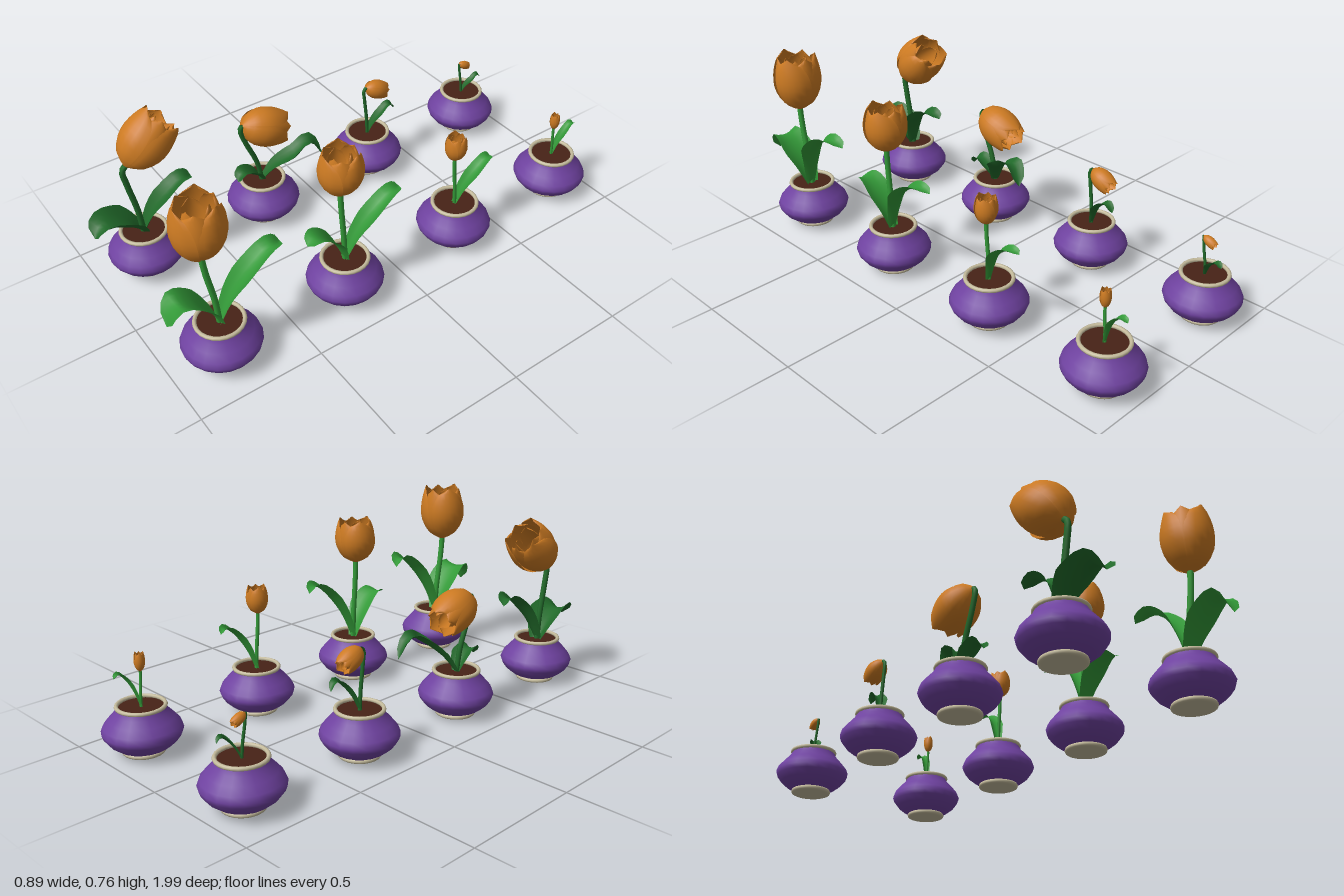
import * as THREE from 'three';
import { ParametricGeometry } from 'three/addons/geometries/ParametricGeometry.js';

const mat = (color, side = THREE.FrontSide) =>
  new THREE.MeshStandardMaterial({ color, side });
const glaze = mat(0x6f42a0);
const trim = mat(0xc4bb9c);
const soil = mat(0x472216);
const petal = mat(0xcc7a22, THREE.DoubleSide);
const fresh = mat(0x339a38, THREE.DoubleSide);
const wilted = mat(0x216a2a, THREE.DoubleSide);

const path = (pts) => new THREE.CatmullRomCurve3(pts.map((p) => new THREE.Vector3(...p)));

function add(parent, name, geometry, material, y = 0) {
  const mesh = new THREE.Mesh(geometry, material);
  mesh.name = name;
  mesh.position.y = y;
  parent.add(mesh);
}

function surface(fn, nu, nv) {
  const g = new ParametricGeometry(fn, nu, nv);
  g.computeVertexNormals();
  return g;
}

// Squat bulging pot with a foot ring, a rim and soil
const potSide = [[0.07, 0.015], [0.1, 0.028], [0.128, 0.05], [0.146, 0.074], [0.152, 0.092],
  [0.144, 0.113], [0.122, 0.139], [0.1, 0.163], [0.09, 0.182]].map((p) => new THREE.Vector2(...p));

function makePot() {
  const pot = new THREE.Group();
  pot.name = 'pot';
  const ring = (r, tube) => new THREE.TorusGeometry(r, tube, 8, 24).rotateX(Math.PI / 2);
  add(pot, 'potBody', new THREE.LatheGeometry(potSide, 20), glaze);
  add(pot, 'potFoot', ring(0.073, 0.0095), trim, 0.0095);
  add(pot, 'potBase', new THREE.CylinderGeometry(0.074, 0.074, 0.014, 24), trim, 0.008);
  add(pot, 'potRim', ring(0.09, 0.008), trim, 0.187);
  add(pot, 'soil', new THREE.CylinderGeometry(0.086, 0.086, 0.01, 24), soil, 0.177);
  return pot;
}

// Tulip head: three whorls of cupped, overlapping petals, opening along +y
const bulge = new THREE.SplineCurve([[0.1, 0], [0.62, 0.13], [0.93, 0.36], [1, 0.58],
  [0.93, 0.8], [0.8, 1]].map((p) => new THREE.Vector2(...p)));

function makeFlower(radius, height) {
  const flower = new THREE.Group();
  flower.name = 'flower';
  for (const [rScale, hScale, turn] of [[1, 1, 0], [0.9, 0.97, Math.PI / 3], [0.58, 0.93, 0.4]]) {
    for (let i = 0; i < 3; i++) {
      const middle = turn + (i * Math.PI * 2) / 3;
      add(flower, 'petal', surface((u, v, out) => {
        const s = u * 2 - 1;
        const p = bulge.getPoint(v);
        const a = middle + s * 1.08 * Math.sqrt(Math.max(0.02, 1 - v ** 5));
        const r = radius * rScale * p.x * (1 + 0.05 * s - 0.06 * s * s);
        out.set(Math.sin(a) * r, height * hScale * p.y * (1 - 0.05 * s * s * v), Math.cos(a) * r);
      }, 8, 10), petal);
    }
  }
  return flower;
}

// Broad leaf that rises to a peak, then droops to a tip at z = reach; bow shifts it
// sideways, and its edges curl upward
function makeLeaf({ reach, peak, tip, half, bow = 0.01, tipX = 0.012, cup = 0.5 }) {
  const rise = peak - 0.175;
  const rib = path([[0, 0.175, 0], [bow * 0.4, 0.175 + rise * 0.44, reach * 0.2],
    [bow, 0.175 + rise * 0.8, reach * 0.47], [bow * 0.95, peak, reach * 0.78], [tipX, tip, reach]]);
  const side = new THREE.Vector3(reach, 0, -tipX).normalize();
  return surface((u, v, out) => {
    const s = u * 2 - 1;
    const w = half * Math.min(1, 0.35 + 1.5 * v) * Math.sqrt(Math.max(0, 1 - v ** 3));
    const normal = rib.getTangent(v).cross(side).normalize();
    out.copy(rib.getPoint(v)).addScaledVector(side, s * w)
      .addScaledVector(normal, cup * w * s * s);
  }, 6, 12);
}

// Pot with one plant: the stem leans to +z up to height top, hooks back,
// and carries a flower of radius r and length h tilted towards -z
function makePlant(side, row, { r, h, top, lean, hook = 0, tilt = 0 }, leaves) {
  const plant = new THREE.Group();
  plant.name = 'pottedTulip';
  plant.position.set(side * 0.295, 0, 0.792 - row * 0.546);
  plant.add(makePot());

  const green = side > 0 ? fresh : wilted;
  const rise = top - 0.17;
  const stem = path([[0, 0.17, 0], [0, 0.17 + rise * 0.35, lean * 0.25],
    [0, 0.17 + rise * 0.74, lean * 0.8], [0, 0.17 + rise * 0.95, lean], [0, top, lean - hook]]);
  add(plant, 'stem', new THREE.TubeGeometry(stem, 20, 0.004 + r * 0.08, 8), green);
  for (const leaf of leaves) add(plant, 'leaf', makeLeaf(leaf), green);

  const flower = makeFlower(r, h);
  flower.position.set(0, top, lean - hook);
  flower.rotation.x = -tilt;
  plant.add(flower);
  return plant;
}

export function createModel() {
  const model = new THREE.Group();
  model.name = 'pottedTulips';
  model.add(
    // Upright plants, from large to small
    makePlant(1, 0, { r: 0.1, h: 0.245, top: 0.52, lean: 0.04 }, [
      { reach: -0.258, peak: 0.46, tip: 0.435, half: 0.056, bow: 0.045 },
      { reach: 0.203, peak: 0.365, tip: 0.29, half: 0.078, cup: 0.3 }]),
    makePlant(1, 1, { r: 0.087, h: 0.19, top: 0.515, lean: 0.018 }, [
      { reach: -0.242, peak: 0.44, tip: 0.425, half: 0.048, bow: 0.04 },
      { reach: 0.175, peak: 0.36, tip: 0.345, half: 0.06, cup: 0.3 }]),
    makePlant(1, 2, { r: 0.045, h: 0.115, top: 0.41, lean: 0.016 }, [
      { reach: -0.16, peak: 0.37, tip: 0.36, half: 0.036, bow: 0.033 }]),
    makePlant(1, 3, { r: 0.021, h: 0.075, top: 0.318, lean: 0.008 }, [
      { reach: -0.097, peak: 0.322, tip: 0.312, half: 0.022, bow: 0.018 }]),
    // Wilting plants, from large to small
    makePlant(-1, 0, { r: 0.1, h: 0.235, top: 0.515, lean: 0.045, hook: 0.015, tilt: 0.83 }, [
      { reach: -0.215, peak: 0.39, tip: 0.37, half: 0.055, bow: 0.05, tipX: 0.025 },
      { reach: 0.2, peak: 0.285, tip: 0.25, half: 0.08, cup: 0.6 }]),
    makePlant(-1, 1, { r: 0.083, h: 0.205, top: 0.482, lean: 0.085, hook: 0.01, tilt: 1.98 }, [
      { reach: -0.235, peak: 0.345, tip: 0.265, half: 0.05, bow: 0.09, tipX: 0.1 },
      { reach: 0.12, peak: 0.255, tip: 0.225, half: 0.045 }]),
    makePlant(-1, 2, { r: 0.042, h: 0.115, top: 0.42, lean: 0.02, hook: 0.012, tilt: 2.04 }, [
      { reach: -0.12, peak: 0.31, tip: 0.28, half: 0.028, bow: 0.03, tipX: 0.025 }]),
    makePlant(-1, 3, { r: 0.019, h: 0.062, top: 0.338, lean: 0.022, tilt: 2.04 }, [
      { reach: -0.08, peak: 0.265, tip: 0.25, half: 0.02, bow: 0.03, tipX: 0.027 }]),
  );
  return model;
}
